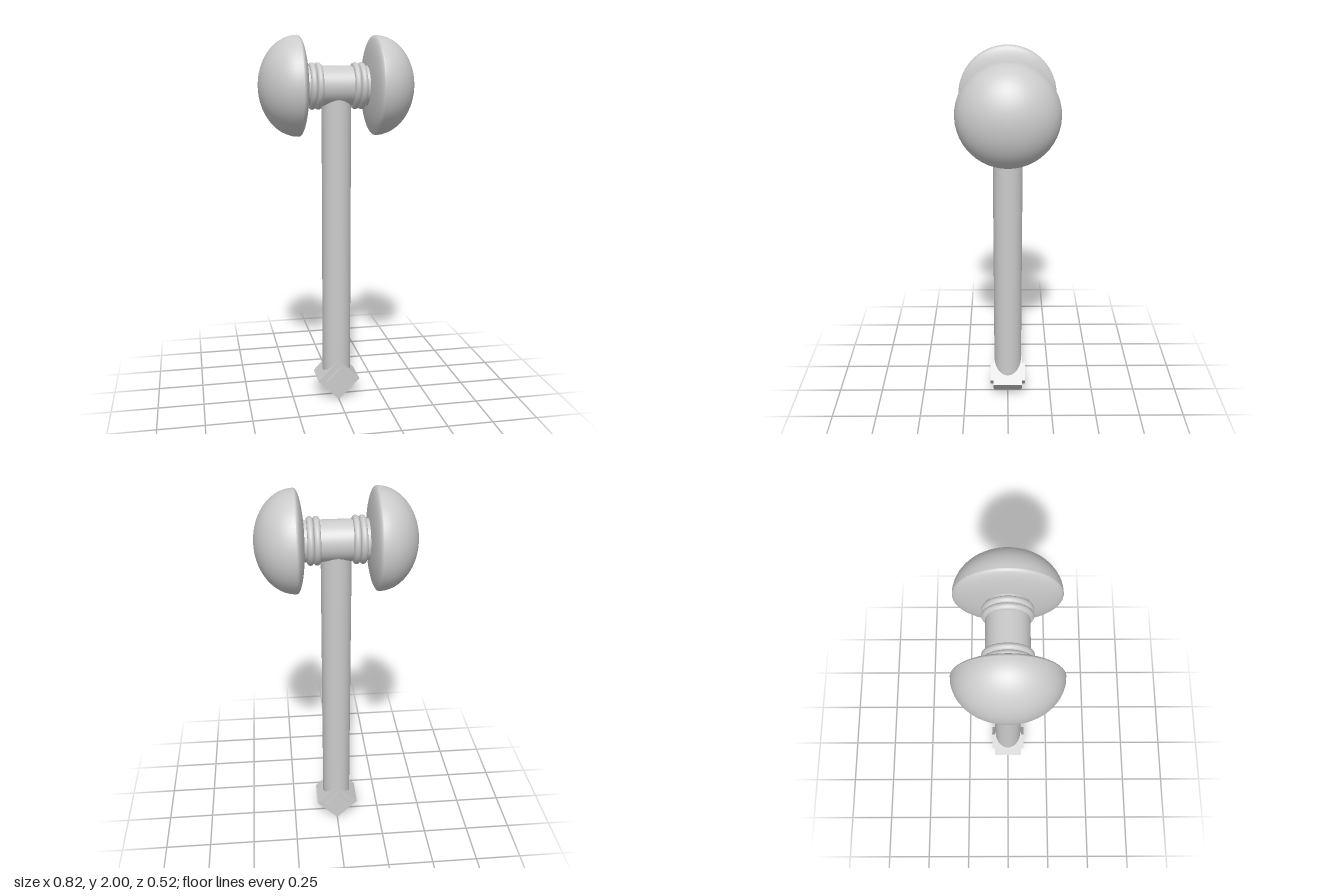
import * as THREE from 'three';

const HEAD_Y = 1.74;
const material = new THREE.MeshStandardMaterial({ color: 0xcccccc });

function add(parent, name, geometry, x = 0, y = 0, z = 0) {
  const mesh = new THREE.Mesh(geometry, material);
  mesh.name = name;
  mesh.position.set(x, y, z);
  parent.add(mesh);
  return mesh;
}

// Half ellipsoid along y, from the rim to the pole or from the pole to the rim
function cap(radius, rimY, depth, rising) {
  const points = [];
  const steps = 20;
  for (let i = 0; i <= steps; i++) {
    const a = (rising ? i : i - steps) / steps * Math.PI / 2;
    const r = Math.abs(Math.cos(a)) < 1e-6 ? 0 : radius * Math.cos(a);
    points.push(new THREE.Vector2(r, rimY + depth * Math.sin(a)));
  }
  return new THREE.LatheGeometry(points, 48);
}

// One end of the head, built upward along y and then laid on its side
function createHeadEnd(side) {
  const end = new THREE.Group();
  end.name = side > 0 ? 'leftHeadEnd' : 'rightHeadEnd';
  add(end, 'strikingDome', cap(0.26, 0.205, 0.205, true));
  add(end, 'domeBack', cap(0.26, 0.205, 0.047, false));
  for (const offset of [0.098, 0.131]) {
    const ring = add(end, 'collarRing', new THREE.TorusGeometry(0.105, 0.017, 16, 48), 0, offset, 0);
    ring.rotation.x = Math.PI / 2;
  }
  end.rotation.z = -side * Math.PI / 2;
  end.position.y = HEAD_Y;
  return end;
}

export function createModel() {
  const model = new THREE.Group();
  model.name = 'hammer';

  // Head: a cross bar with a dome and two rings at each end
  const bar = add(model, 'headBar', new THREE.CylinderGeometry(0.104, 0.104, 0.36, 48), 0, HEAD_Y, 0);
  bar.rotation.z = Math.PI / 2;
  model.add(createHeadEnd(1), createHeadEnd(-1));

  // Handle runs from the pommel into the head
  add(model, 'handle', new THREE.CylinderGeometry(0.078, 0.078, 1.6, 48), 0, 0.92, 0);

  // Pommel: a cube on its edge with a raised square panel front and back
  const pommel = new THREE.Group();
  pommel.name = 'pommel';
  pommel.position.y = 0.117;
  pommel.rotation.z = Math.PI / 4;
  add(pommel, 'pommelCube', new THREE.BoxGeometry(0.165, 0.165, 0.166));
  for (const side of [1, -1]) {
    add(pommel, 'pommelPanel', new THREE.BoxGeometry(0.104, 0.104, 0.04), 0, 0, side * 0.081);
  }
  model.add(pommel);

  return model;
}
